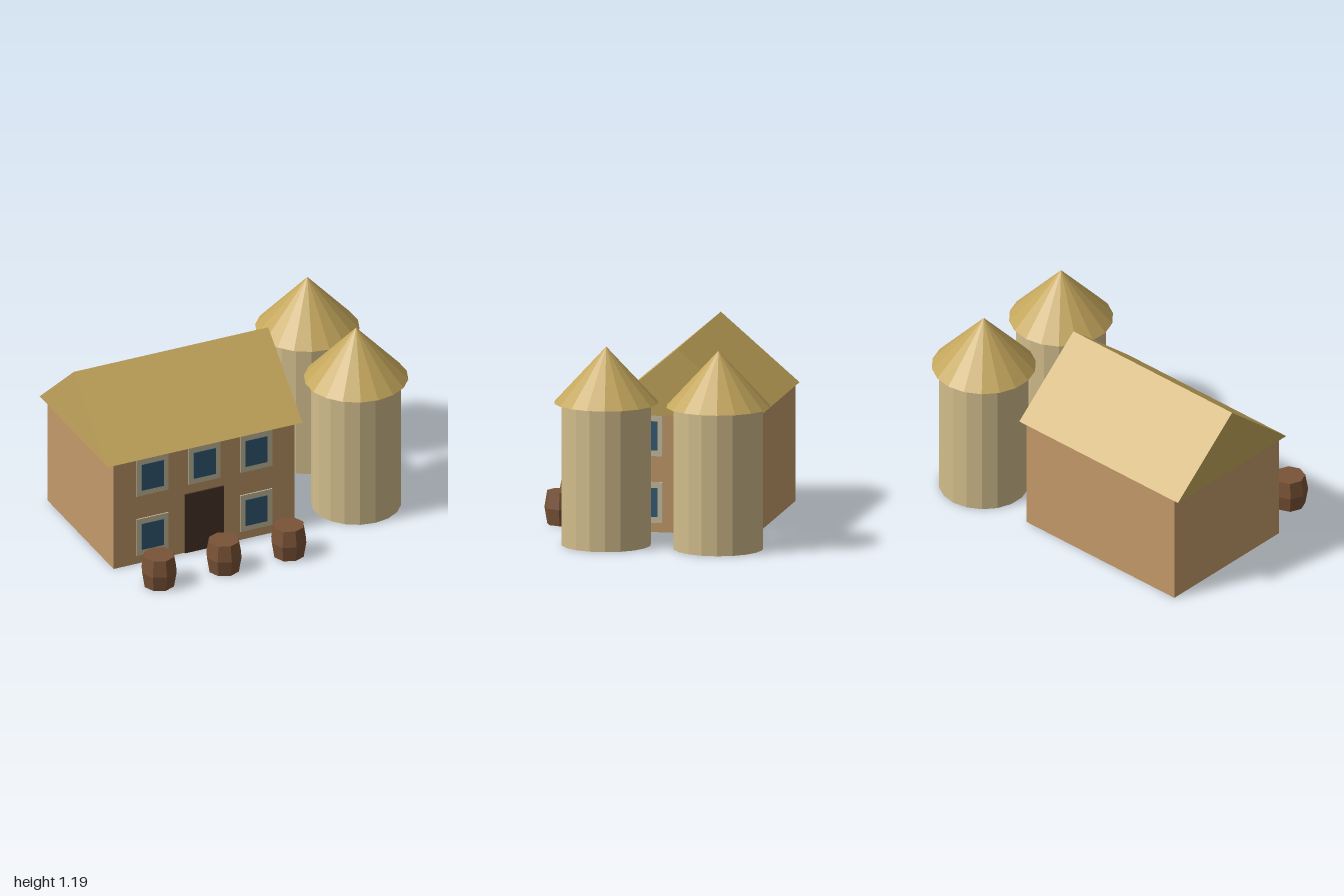
import * as THREE from 'three';

const mat = (name, color, flatShading = true) => {
  const m = new THREE.MeshStandardMaterial({ color, flatShading });
  m.name = name;
  return m;
};

export function createModel() {
  const wallMat = mat('clay wall', 0xc49a6a);
  const roofMat = mat('thatch', 0xc4a65c);
  const siloMat = mat('pale plaster', 0xd2bd8c);
  const frameMat = mat('window frame', 0xcabf9f);
  const glassMat = mat('blue glass', 0x335b78);
  const doorMat = mat('dark door', 0x4b3529);
  const barrelMat = mat('barrel wood', 0x7a5337);

  const model = new THREE.Group();
  model.name = 'farmstead';
  const add = (parent, name, geometry, material, x = 0, y = 0, z = 0) => {
    const mesh = new THREE.Mesh(geometry, material);
    mesh.name = name;
    mesh.position.set(x, y, z);
    parent.add(mesh);
    return mesh;
  };

  // House: walls and a solid gabled roof
  const midX = -0.363, midZ = -0.103, width = 1.186, depth = 0.92, wallTop = 0.71;
  const house = new THREE.Group();
  house.name = 'house';
  model.add(house);
  add(house, 'walls', new THREE.BoxGeometry(width, wallTop, depth), wallMat, midX, wallTop / 2, midZ);

  const gable = new THREE.Shape([
    new THREE.Vector2(-0.477, 0), new THREE.Vector2(0.477, 0), new THREE.Vector2(0, 0.408),
  ]);
  const roofGeo = new THREE.ExtrudeGeometry(gable, { depth: 1.274, bevelEnabled: false });
  roofGeo.translate(0, 0, -0.637).rotateY(Math.PI / 2);
  add(house, 'roof', roofGeo, roofMat, midX, wallTop, midZ);

  // Windows: thin frame plate with a thin pane, facing +z before rotation
  const addWindow = (x, y, z, turn) => {
    const win = new THREE.Group();
    win.name = 'window';
    add(win, 'windowFrame', new THREE.BoxGeometry(0.208, 0.246, 0.008), frameMat, 0, 0, 0.004);
    add(win, 'windowPane', new THREE.BoxGeometry(0.144, 0.175, 0.006), glassMat, 0, 0, 0.009);
    win.position.set(x, y, z);
    win.rotation.y = turn;
    house.add(win);
  };
  const front = midZ + depth / 2, side = midX + width / 2;
  for (const y of [0.18, 0.582]) {
    for (const dx of [-0.34, 0, 0.34]) {
      if (dx !== 0 || y > 0.4) addWindow(midX + dx, y, front, 0);
    }
    for (const dz of [-0.2, 0.2]) addWindow(side, y, midZ + dz, Math.PI / 2);
  }
  add(house, 'door', new THREE.BoxGeometry(0.256, 0.398, 0.009), doorMat, midX, 0.199, front + 0.0045);

  // Two silos with conical roofs
  for (const z of [0.242, -0.438]) {
    const silo = new THREE.Group();
    silo.name = 'silo';
    silo.position.set(0.688, 0, z);
    add(silo, 'siloBody', new THREE.CylinderGeometry(0.268, 0.268, 0.855, 18), siloMat, 0, 0.4275, 0);
    add(silo, 'siloRoof', new THREE.ConeGeometry(0.311, 0.337, 18), roofMat, 0, 1.0235, 0);
    model.add(silo);
  }

  // Row of eight-sided barrels
  const barrelProfile = [[0, 0], [0.094, 0], [0.111, 0.1], [0.094, 0.2], [0, 0.2]]
    .map(([r, y]) => new THREE.Vector2(r, y));
  const barrelGeo = new THREE.LatheGeometry(barrelProfile, 8);
  for (const x of [-0.788, -0.363, 0.062]) add(model, 'barrel', barrelGeo, barrelMat, x, 0, 0.635);

  return model;
}
